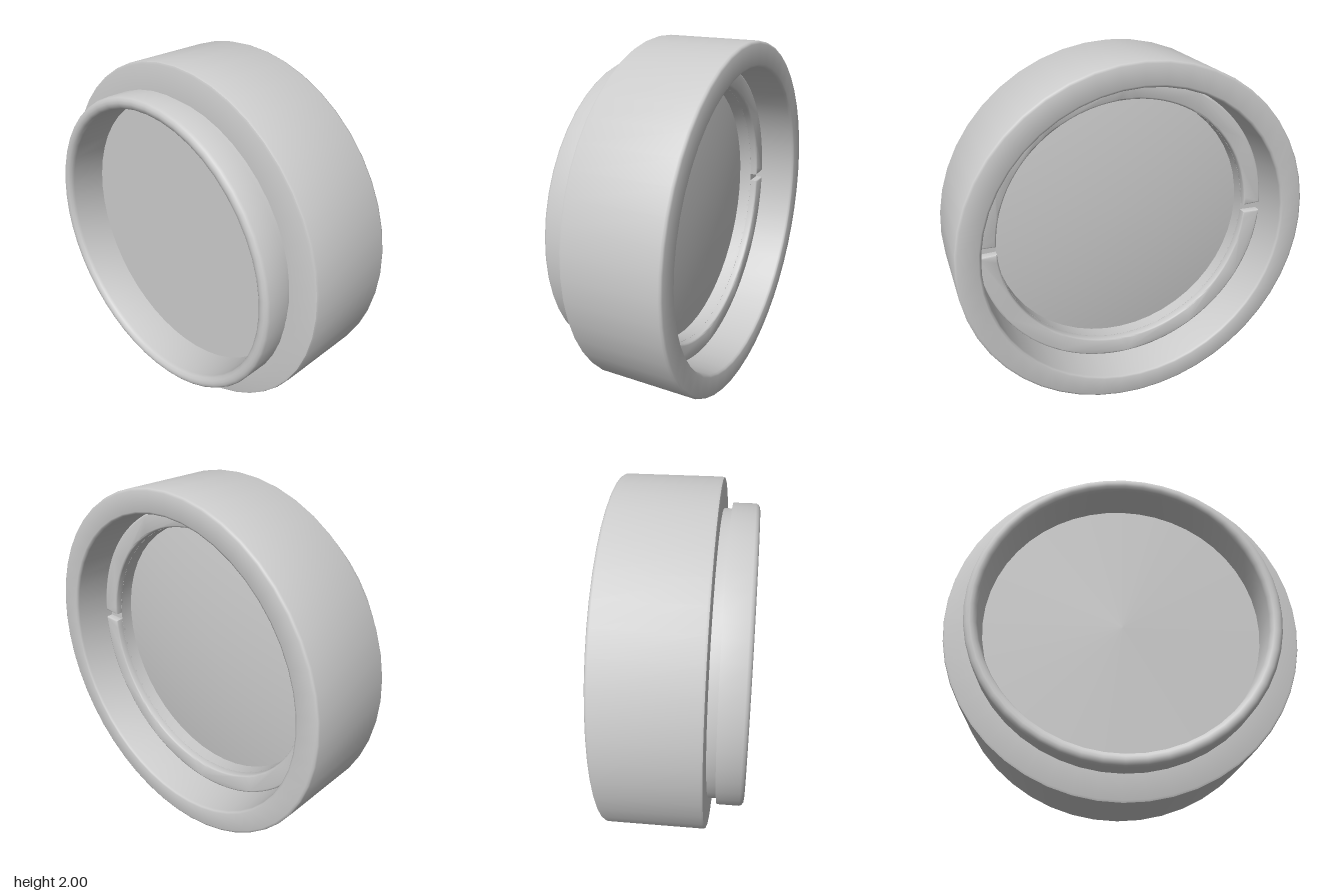
import * as THREE from 'three';
import { toCreasedNormals } from 'three/addons/utils/BufferGeometryUtils.js';

const SEG = 48;

export function createModel() {
  const model = new THREE.Group();
  model.name = 'mountedLens';
  const grey = new THREE.MeshStandardMaterial({ color: 0xcccccc });

  // Everything is centred on the x axis, one unit above the ground
  const add = (name, geometry) => {
    const mesh = new THREE.Mesh(toCreasedNormals(geometry, 0.8), grey);
    mesh.name = name;
    mesh.position.y = 1;
    model.add(mesh);
  };

  // Profile of [radius, x] turned about the x axis
  const turn = (points) => new THREE.LatheGeometry(
    points.map(([r, x]) => new THREE.Vector2(r, x)), SEG).rotateZ(-Math.PI / 2);

  // Housing with rounded rear flange, groove, rim and a seat for the lens
  add('housing', turn([
    [0.79, -0.13], [0.79, -0.34], [0.796, -0.358], [0.81, -0.37], [0.826, -0.374],
    [0.842, -0.372], [0.855, -0.363], [0.862, -0.35], [0.862, -0.225],
    [0.83, -0.225], [0.83, -0.175], [0.985, -0.175], [0.996, -0.171],
    [1, -0.16], [1, 0.357], [0.996, 0.368], [0.985, 0.373],
    [0.88, 0.373], [0.87, 0.369], [0.865, 0.357], [0.864, -0.13], [0.79, -0.13],
  ]));

  // Retaining ring: a solid base under two halves whose gaps form the slots
  add('retainingRingBase', turn([
    [0.75, 0.036], [0.858, 0.036], [0.858, 0.115], [0.75, 0.115], [0.75, 0.036],
  ]));
  const gap = 0.03;
  for (const [name, start] of [['upperRetainingRing', 0], ['lowerRetainingRing', Math.PI]]) {
    const half = new THREE.Shape();
    half.absarc(0, 0, 0.858, start + gap, start + Math.PI - gap, false);
    half.absarc(0, 0, 0.75, start + Math.PI - gap, start + gap, true);
    half.closePath();
    const ring = new THREE.ExtrudeGeometry(half, {
      depth: 0.045, bevelSize: 0.01, bevelOffset: -0.01, bevelThickness: 0.01,
      bevelSegments: 2, curveSegments: SEG / 2,
    });
    add(name, ring.rotateY(Math.PI / 2).translate(0.103, 0, 0));
  }

  // Lens: flat at the rear, gently domed at the front
  const lens = [[0, -0.13], [0.86, -0.13], [0.86, 0.022]];
  for (let i = 0; i <= 8; i++) {
    const r = 0.86 * (1 - i / 8);
    lens.push([r, 0.095 - 0.1 * r * r]);
  }
  add('lens', turn(lens));

  return model;
}
